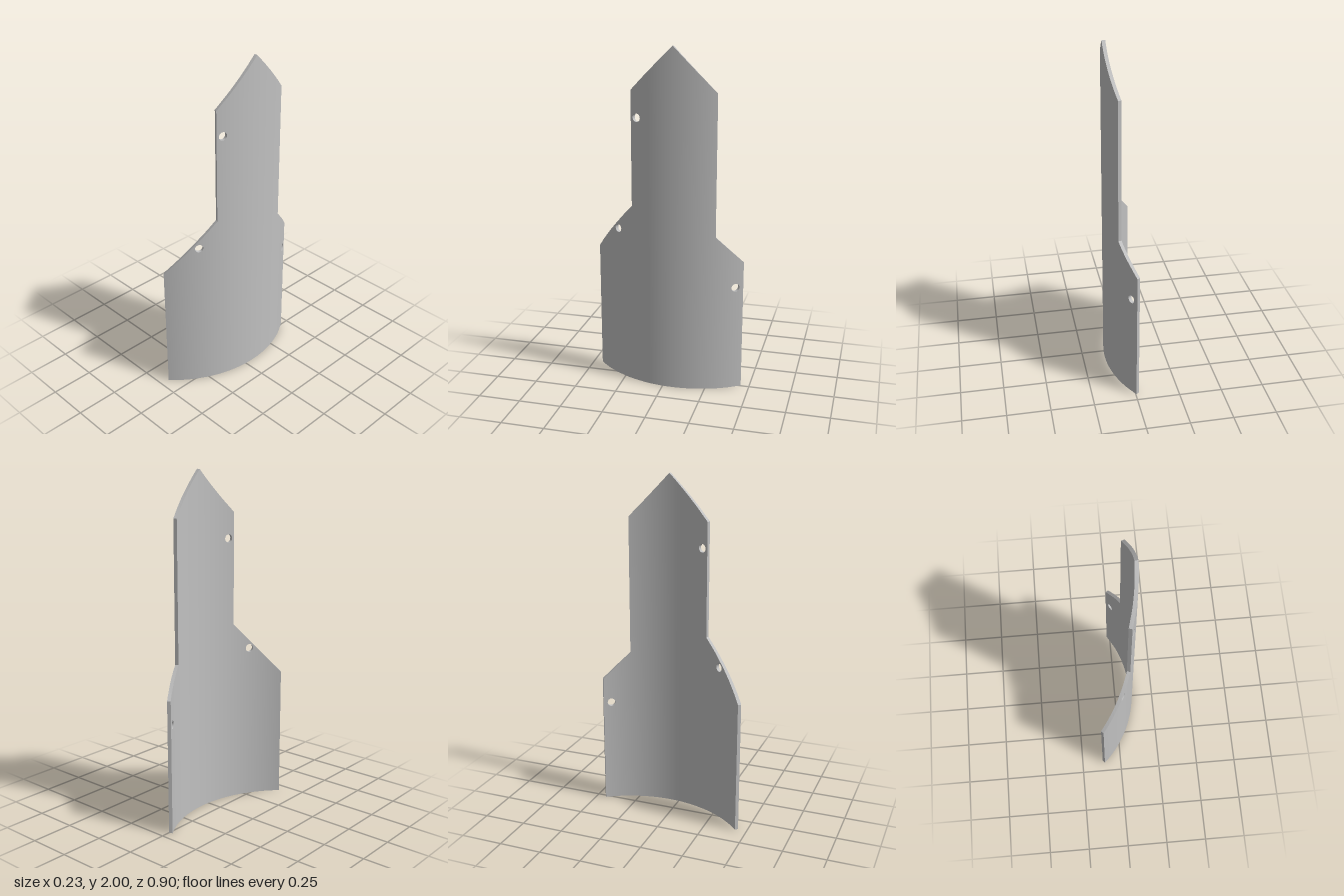
import * as THREE from 'three';
import { mergeGeometries } from 'three/addons/utils/BufferGeometryUtils.js';

// Plate is laid out flat as (u = arc length, y) and rolled around a vertical axis.
const R = 0.691, THICK = 0.02, CX = -0.574, CZ = -0.06, HOLE_R = 0.024;

// Sloping top edge: [u0, y0, u1, y1] per straight run
const RUNS = [
  [-0.415, 0.78, -0.245, 0.94],
  [-0.245, 1.75, 0, 2],
  [0, 2, 0.256, 1.75],
  [0.256, 1.09, 0.569, 0.775],
];
const HOLES = [[0.219, 1.6], [0.364, 0.935], [-0.367, 0.63]];
const HALF_COLUMN = 0.032; // half width of a column that carries a hole

function roll(u, y, r) {
  const a = u / R;
  return new THREE.Vector3(CX + r * Math.cos(a), y, CZ + r * Math.sin(a));
}

// Split each run into narrow columns, keeping every hole inside one column
function makeColumns() {
  const columns = [];
  for (const [u0, y0, u1, y1] of RUNS) {
    const height = (u) => y0 + ((y1 - y0) * (u - u0)) / (u1 - u0);
    const inside = HOLES.filter(([u]) => u > u0 && u < u1);
    const marks = [u0, ...inside.flatMap(([u]) => [u - HALF_COLUMN, u + HALF_COLUMN]), u1];
    for (let i = 0; i < marks.length - 1; i++) {
      const hole = i % 2 ? inside[(i - 1) / 2] : null;
      const n = hole ? 1 : Math.max(1, Math.ceil((marks[i + 1] - marks[i]) / 0.025));
      for (let k = 0; k < n; k++) {
        const a = THREE.MathUtils.lerp(marks[i], marks[i + 1], k / n);
        const b = THREE.MathUtils.lerp(marks[i], marks[i + 1], (k + 1) / n);
        columns.push({ a, b, ya: height(a), yb: height(b), hole });
      }
    }
  }
  return columns;
}

// One side of a column, rolled to radius r with radial normals
function skin({ a, b, ya, yb, hole }, r, outward) {
  const shape = new THREE.Shape([[a, 0], [b, 0], [b, yb], [a, ya]].map((p) => new THREE.Vector2(...p)));
  if (hole) shape.holes.push(new THREE.Path().absarc(hole[0], hole[1], HOLE_R, 0, Math.PI * 2, true));
  const geo = new THREE.ShapeGeometry(shape, 12);
  const pos = geo.attributes.position, nor = geo.attributes.normal;
  const s = outward ? 1 : -1;
  for (let i = 0; i < pos.count; i++) {
    const u = pos.getX(i), p = roll(u, pos.getY(i), r);
    pos.setXYZ(i, p.x, p.y, p.z);
    nor.setXYZ(i, s * Math.cos(u / R), 0, s * Math.sin(u / R));
  }
  if (outward) geo.index.array.reverse();
  return geo;
}

// Wall across the thickness along a closed loop
function wall(loop) {
  const pts = [];
  loop.forEach(([u, y], i) => {
    const [v, w] = loop[(i + 1) % loop.length];
    const ao = roll(u, y, R), bo = roll(v, w, R);
    const ai = roll(u, y, R - THICK), bi = roll(v, w, R - THICK);
    pts.push(ao, bo, bi, ao, bi, ai);
  });
  const geo = new THREE.BufferGeometry().setFromPoints(pts);
  geo.computeVertexNormals();
  return geo;
}

export function createModel() {
  const model = new THREE.Group();
  model.name = 'curvedPlate';
  const grey = new THREE.MeshStandardMaterial({ color: 0xc0c0c0 });
  grey.name = 'light grey';
  const add = (name, geo) => {
    const mesh = new THREE.Mesh(geo, grey);
    mesh.name = name;
    model.add(mesh);
  };

  const columns = makeColumns();
  add('outerFace', mergeGeometries(columns.map((c) => skin(c, R, true))));
  add('innerFace', mergeGeometries(columns.map((c) => skin(c, R - THICK, false))));

  // Rim: along the bottom, then back over the stepped top
  const bottom = [...columns.map((c) => [c.a, 0]), [columns.at(-1).b, 0]];
  const top = [...columns].reverse().flatMap((c) => [[c.b, c.yb], [c.a, c.ya]]);
  const outline = [...bottom, ...top].filter(
    (p, i, all) => i === 0 || Math.hypot(p[0] - all[i - 1][0], p[1] - all[i - 1][1]) > 1e-6
  );
  add('rim', wall(outline));

  // Bolt hole walls, wound clockwise
  HOLES.forEach(([u, y], i) => {
    const loop = Array.from({ length: 24 }, (_, k) => {
      const t = (-k / 24) * Math.PI * 2;
      return [u + HOLE_R * Math.cos(t), y + HOLE_R * Math.sin(t)];
    });
    add('holeWall' + (i + 1), wall(loop));
  });
  return model;
}
